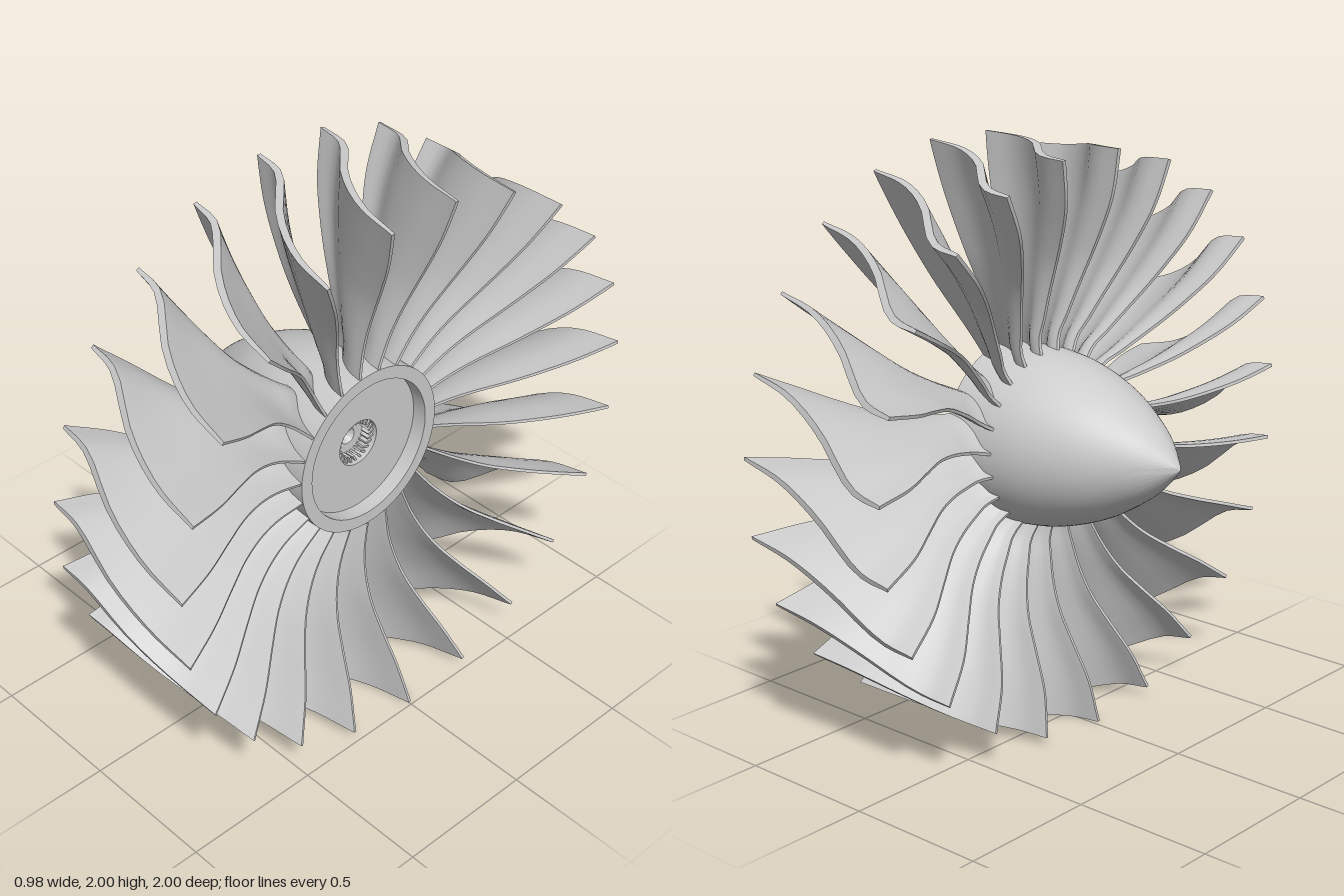
import * as THREE from 'three';
import { toCreasedNormals } from 'three/addons/utils/BufferGeometryUtils.js';

const BLADES = 23;
const SPINE_STEPS = 24, CHORD_STEPS = 18;

// Smooth interpolation of rows [key, value, value, ...]
function spline(rows) {
  const size = rows[0].length - 1;
  const curve = new THREE.CubicInterpolant(
    rows.map(r => r[0]), rows.flatMap(r => r.slice(1)), size, new Array(size).fill(0));
  return t => [...curve.evaluate(t)];
}

// Blade stations: radius, leading x, trailing x, swept angle (degrees), half thickness
const station = spline([
  [0.28, 0.06, 0.265, 20, 0.012],
  [0.36, 0.075, 0.268, 14.5, 0.012],
  [0.42, 0.06, 0.273, 11.5, 0.012],
  [0.50, 0.04, 0.29, 9.6, 0.012],
  [0.60, 0.005, 0.325, 9.4, 0.012],
  [0.72, -0.05, 0.38, 12, 0.013],
  [0.84, -0.10, 0.435, 14.8, 0.013],
  [1.00, -0.13, 0.49, 17.3, 0.014],
]);

// S-shaped camber: chord fraction to swept fraction
const camber = spline([[0, 0], [0.2, 0.1], [0.44, 0.55], [0.7, 0.85], [1, 1]]);

function bladeGeometry() {
  const pos = [], index = [];
  const ring = 2 * (CHORD_STEPS + 1);
  for (let j = 0; j <= SPINE_STEPS; j++) {
    const r = 0.28 + 0.72 * j / SPINE_STEPS;
    const [lead, trail, sweep, thick] = station(r);
    const span = THREE.MathUtils.degToRad(sweep);
    const mid = u => [lead + (trail - lead) * u, r * span * (camber(u)[0] - 0.53)];
    for (let k = 0; k < ring; k++) {
      const upper = k <= CHORD_STEPS;
      const i = upper ? k : ring - 1 - k;
      const u = (1 - Math.cos(Math.PI * i / CHORD_STEPS)) / 2;
      const [x, w] = mid(u);
      const [x0, w0] = mid(Math.max(0, u - 0.02));
      const [x1, w1] = mid(Math.min(1, u + 0.02));
      const len = Math.hypot(x1 - x0, w1 - w0);
      // blunt nose, thinner tail
      const h = thick * Math.min(1, 0.45 + u * 2) * (1 - 0.6 * u * u) * (upper ? 1 : -1);
      const px = Math.min(x - (w1 - w0) / len * h, 0.49);
      const a = (w + (x1 - x0) / len * h) / r;
      pos.push(px, r * Math.cos(a), r * Math.sin(a));
    }
  }
  for (let j = 0; j < SPINE_STEPS; j++) {
    for (let k = 0; k < ring; k++) {
      const a = j * ring + k, b = j * ring + (k + 1) % ring;
      index.push(a, b, b + ring, a, b + ring, a + ring);
    }
  }
  // tip cap
  const top = SPINE_STEPS * ring;
  for (let i = 0; i < CHORD_STEPS; i++) {
    const p = top + i, q = top + ring - 1 - i;
    index.push(p, p + 1, q - 1, p, q - 1, q);
  }
  const g = new THREE.BufferGeometry();
  g.setAttribute('position', new THREE.Float32BufferAttribute(pos, 3));
  g.setIndex(index);
  return toCreasedNormals(g, 0.8);
}

// Lathe around the x axis from [x, radius] pairs
function turned(profile) {
  const g = new THREE.LatheGeometry(profile.map(([x, r]) => new THREE.Vector2(r, x)), 72);
  g.rotateZ(-Math.PI / 2);
  return toCreasedNormals(g, 0.5);
}

export function createModel() {
  const model = new THREE.Group();
  model.name = 'fanRotor';
  const rotor = new THREE.Group();
  rotor.name = 'rotor';
  rotor.position.y = 1;
  model.add(rotor);
  const material = new THREE.MeshStandardMaterial({ color: 0xcccccc });

  const add = (name, geometry, parent = rotor) => {
    const mesh = new THREE.Mesh(geometry, material);
    mesh.name = name;
    parent.add(mesh);
    return mesh;
  };

  // Pointed spinner running into the hub drum
  const nose = new THREE.SplineCurve([
    [-0.49, 0], [-0.47, 0.026], [-0.385, 0.11], [-0.29, 0.177], [-0.2, 0.228],
    [-0.1, 0.268], [0, 0.295], [0.1, 0.308],
  ].map(p => new THREE.Vector2(...p))).getPoints(32).map(p => [p.x, Math.max(0, p.y)]);

  // Hub with recessed back face and stepped centre bore
  add('spinnerAndHub', turned([
    ...nose, [0.27, 0.308], [0.27, 0.262], [0.215, 0.262], [0.215, 0.085],
    [0.165, 0.085], [0.165, 0.03], [0.14, 0.015], [0.14, 0],
  ]));

  // Slanted teeth around the bore
  const teeth = new THREE.Group();
  teeth.name = 'boreTeeth';
  rotor.add(teeth);
  const toothGeometry = new THREE.BoxGeometry(0.04, 0.026, 0.007);
  toothGeometry.rotateX(0.5);
  toothGeometry.translate(0.18, 0.074, 0);
  for (let i = 0; i < 24; i++) {
    add('boreTooth', toothGeometry, teeth).rotation.x = i * Math.PI / 12;
  }

  // Ring of twisted blades
  const blades = new THREE.Group();
  blades.name = 'blades';
  rotor.add(blades);
  const blade = bladeGeometry();
  for (let i = 0; i < BLADES; i++) {
    add('blade', blade, blades).rotation.x = i * 2 * Math.PI / BLADES;
  }
  return model;
}
